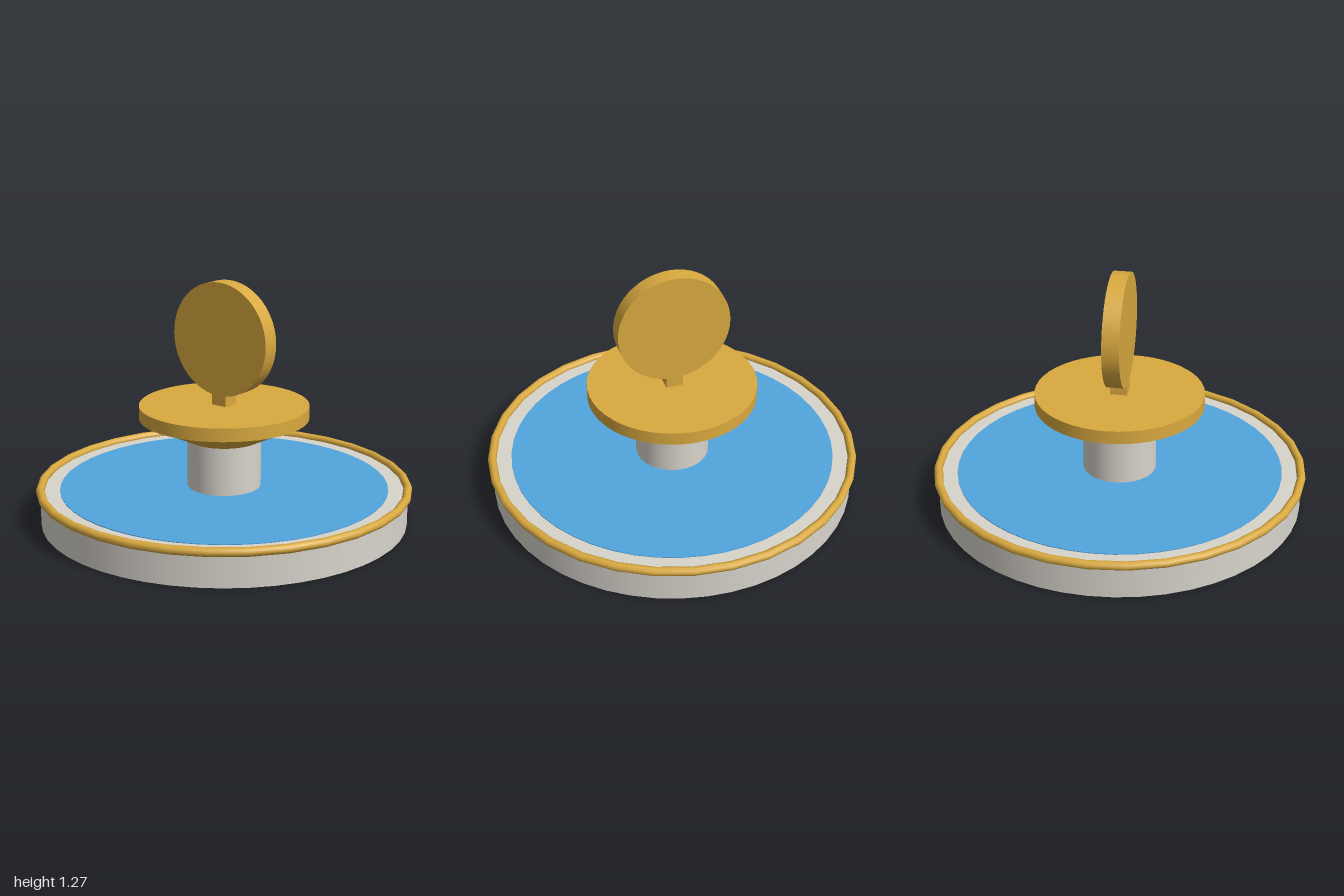
import * as THREE from 'three';

export function createModel() {
  const model = new THREE.Group();
  const material = (name, color) => {
    const m = new THREE.MeshStandardMaterial({ color });
    m.name = name;
    return m;
  };
  const stone = material('pale stone', 0xd8d4cc);
  const gold = material('gold', 0xd9a93f);
  const water = material('water blue', 0x52a5de);

  const add = (name, geometry, mat, y) => {
    const mesh = new THREE.Mesh(geometry, mat);
    mesh.name = name;
    mesh.position.y = y;
    model.add(mesh);
    return mesh;
  };
  // Upright drum given by its bottom and top heights
  const drum = (name, mat, rTop, rBottom, y0, y1, sides = 48) =>
    add(name, new THREE.CylinderGeometry(rTop, rBottom, y1 - y0, sides), mat, (y0 + y1) / 2);

  // Basin with its water and rounded rim
  drum('basin', stone, 0.973, 0.973, 0, 0.176);
  drum('waterSurface', water, 0.87, 0.87, 0.174, 0.18);
  const rim = new THREE.TorusGeometry(0.973, 0.023, 10, 32).rotateX(Math.PI / 2);
  add('basinRim', rim, gold, 0.181);

  // Column carrying the flared upper bowl
  drum('column', stone, 0.195, 0.195, 0.17, 0.45);
  drum('bowlFlare', gold, 0.43, 0.195, 0.437, 0.552);
  drum('bowlRim', gold, 0.448, 0.448, 0.552, 0.622);

  // Square post and upright medallion
  add('medallionPost', new THREE.BoxGeometry(0.09, 0.22, 0.0895), gold, 0.732);
  const disc = new THREE.CylinderGeometry(0.3, 0.3, 0.09, 48).rotateX(Math.PI / 2);
  add('medallion', disc, gold, 0.975);

  return model;
}
